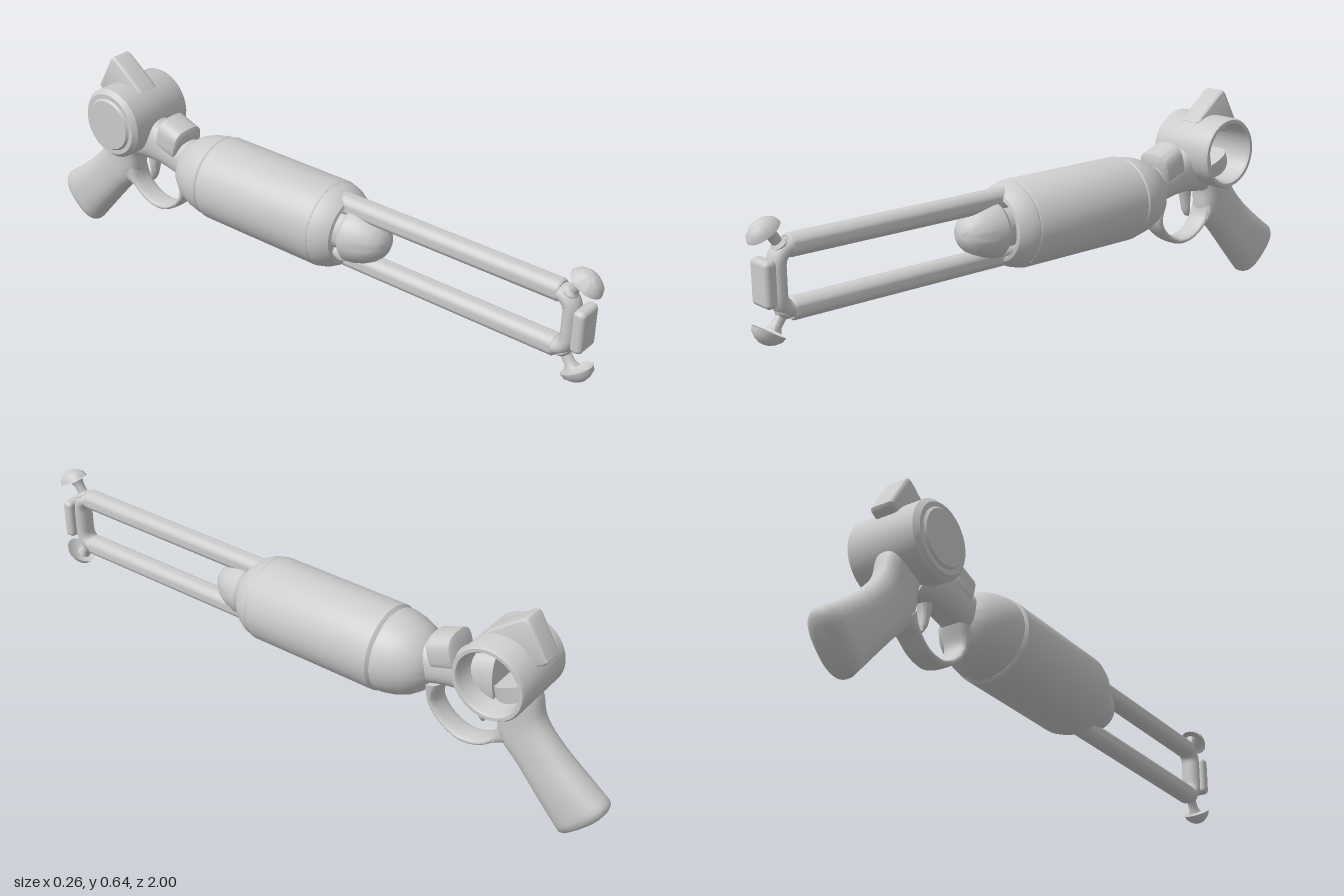
import * as THREE from 'three';
import { toCreasedNormals } from 'three/addons/utils/BufferGeometryUtils.js';
import { RoundedBoxGeometry } from 'three/addons/geometries/RoundedBoxGeometry.js';

const AXIS_Y = 0.357; // height of the barrel axis

export function createModel() {
  const model = new THREE.Group();
  const grey = new THREE.MeshStandardMaterial({ color: 0xcccccc });

  const add = (name, geometry, parent = model) => {
    const mesh = new THREE.Mesh(geometry, grey);
    mesh.name = name;
    parent.add(mesh);
    return mesh;
  };

  // Turned part from [radius, height] points, listed so the outside faces out
  const lathe = (points, segments = 48, crease = 0.6) => toCreasedNormals(
    new THREE.LatheGeometry(points.map(([r, h]) => new THREE.Vector2(r, h)), segments), crease);

  // Capped loft; each station is [z, y] of the lower edge, [z, y] of the upper edge, half width
  const loft = (stations, power = 1, crease = 0.8, sides = 28) => {
    const middle = ([az, ay, bz, by]) => {
      const z = (az + bz) / 2, y = (ay + by) / 2;
      return [z, y, z, y, 0];
    };
    const rings = [middle(stations[0]), ...stations, middle(stations[stations.length - 1])];
    const soften = (v) => Math.sign(v) * Math.abs(v) ** power;
    const positions = [], index = [];
    rings.forEach(([az, ay, bz, by, w], i) => {
      for (let j = 0; j < sides; j++) {
        const t = (j / sides) * Math.PI * 2, c = soften(Math.cos(t)), s = soften(Math.sin(t));
        positions.push(w * s, (ay + by) / 2 + (c * (by - ay)) / 2, (az + bz) / 2 + (c * (bz - az)) / 2);
        if (i === rings.length - 1) continue;
        const k = (j + 1) % sides, a = i * sides, b = a + sides;
        if (i > 0) index.push(a + j, a + k, b + j);
        if (i < rings.length - 2) index.push(a + k, b + k, b + j);
      }
    });
    // The first ring is a point, so its fan uses only the second triangle of each quad
    const geometry = new THREE.BufferGeometry();
    geometry.setAttribute('position', new THREE.Float32BufferAttribute(positions, 3));
    geometry.setIndex(index);
    geometry.computeVertexNormals();
    return toCreasedNormals(geometry, crease);
  };

  // Stations resampled along smooth curves
  const smooth = (stations, count = 24) => {
    const curve = (f) => new THREE.CatmullRomCurve3(stations.map(f));
    const low = curve((s) => new THREE.Vector3(s[4], s[1], s[0]));
    const high = curve((s) => new THREE.Vector3(s[4], s[3], s[2]));
    return Array.from({ length: count + 1 }, (_, i) => {
      const a = low.getPoint(i / count), b = high.getPoint(i / count);
      return [a.z, a.y, b.z, b.y, a.x];
    });
  };

  // Barrel parts, turned about the z axis
  const barrel = (name, points) => add(name, lathe(points).rotateX(Math.PI / 2)).position.set(0, AXIS_Y, 0);
  barrel('barrelBody', [[0, -0.295], [0.122, -0.295], [0.13, -0.287], [0.13, 0.135], [0.126, 0.142], [0, 0.142]]);
  barrel('rearDome', [[0, -0.452], [0.03, -0.448], [0.06, -0.435], [0.085, -0.414], [0.105, -0.385],
    [0.118, -0.35], [0.125, -0.315], [0.125, -0.3], [0.119, -0.292], [0, -0.292]]);
  barrel('frontCollar', [[0, 0.138], [0.124, 0.138], [0.127, 0.146], [0.122, 0.165], [0.11, 0.187],
    [0.1, 0.2], [0.09, 0.203], [0.087, 0.195], [0.085, 0.16], [0, 0.16]]);
  barrel('noseCone', [[0, 0.15], [0.06, 0.15], [0.062, 0.205], [0.078, 0.21], [0.085, 0.222], [0.082, 0.245],
    [0.073, 0.275], [0.059, 0.302], [0.041, 0.322], [0.02, 0.333], [0, 0.336]]);

  // Front fork: two rods, the end bend, the pad and the two hooks
  for (const side of [1, -1]) {
    const half = new THREE.Group();
    half.name = side > 0 ? 'upperForkHalf' : 'lowerForkHalf';
    half.position.y = AXIS_Y;
    if (side < 0) half.rotation.z = Math.PI;
    model.add(half);

    const rod = lathe([[0, 0.15], [0.032, 0.15], [0.032, 0.886], [0.028, 0.892], [0, 0.892]], 24);
    add('forkRod', rod.rotateX(Math.PI / 2), half).position.y = 0.084;

    const stalk = add('hookStalk', lathe([[0, -0.04], [0.024, -0.04], [0.024, -0.012], [0.015, -0.004],
      [0.015, 0.022], [0.021, 0.035], [0, 0.035]], 20), half);
    stalk.position.set(0, 0.103, 0.922);
    stalk.rotation.x = 0.6;

    const hook = add('hookCap', lathe([[0, 0.012], [0.03, 0.008], [0.05, -0.003], [0.045, 0.011],
      [0.03, 0.024], [0.015, 0.031], [0, 0.033]], 32, 0.8), half);
    hook.position.set(0, 0.133, 0.957);
    hook.rotation.x = 0.53;
    hook.scale.x = 0.8;
  }
  const bendPath = new THREE.CurvePath();
  const v = (y, z) => new THREE.Vector3(0, y, z);
  bendPath.add(new THREE.LineCurve3(v(0.084, 0.86), v(0.084, 0.875)));
  bendPath.add(new THREE.CubicBezierCurve3(v(0.084, 0.875), v(0.084, 0.906), v(0.066, 0.925), v(0.035, 0.925)));
  bendPath.add(new THREE.LineCurve3(v(0.035, 0.925), v(-0.035, 0.925)));
  bendPath.add(new THREE.CubicBezierCurve3(v(-0.035, 0.925), v(-0.066, 0.925), v(-0.084, 0.906), v(-0.084, 0.875)));
  bendPath.add(new THREE.LineCurve3(v(-0.084, 0.875), v(-0.084, 0.86)));
  const bend = add('forkBend', new THREE.TubeGeometry(bendPath, 48, 0.024, 18));
  bend.position.y = AXIS_Y;
  bend.scale.x = 1.3;
  add('frontPad', new RoundedBoxGeometry(0.08, 0.126, 0.036, 4, 0.014)).position.set(0, AXIS_Y, 0.962);

  // Frame between the barrel and the receiver
  add('neck', loft(smooth([
    [-0.38, 0.28, -0.38, 0.45, 0.06], [-0.44, 0.312, -0.45, 0.435, 0.055], [-0.5, 0.328, -0.51, 0.452, 0.055],
    [-0.57, 0.332, -0.56, 0.475, 0.055], [-0.66, 0.32, -0.64, 0.5, 0.055]]), 0.85));
  add('frontSight', loft([
    [-0.455, 0.37, -0.428, 0.46, 0.05], [-0.46, 0.37, -0.434, 0.476, 0.058],
    [-0.53, 0.39, -0.502, 0.502, 0.058], [-0.535, 0.395, -0.51, 0.49, 0.052]], 0.7));
  add('triggerGuard', loft(smooth([
    [-0.42, 0.315, -0.475, 0.325, 0.045], [-0.437, 0.246, -0.458, 0.262, 0.037], [-0.475, 0.2, -0.488, 0.216, 0.035],
    [-0.544, 0.166, -0.544, 0.188, 0.035], [-0.61, 0.177, -0.603, 0.197, 0.035],
    [-0.66, 0.21, -0.646, 0.235, 0.037], [-0.705, 0.225, -0.66, 0.285, 0.042]], 32), 0.8));
  add('trigger', loft(smooth([
    [-0.562, 0.345, -0.615, 0.345, 0.02], [-0.575, 0.3, -0.607, 0.305, 0.018],
    [-0.585, 0.265, -0.607, 0.265, 0.015], [-0.596, 0.247, -0.606, 0.247, 0.008]], 12)));

  // Receiver drum: capped on the right, open on the left
  add('receiverDrum', lathe([[0, -0.12], [0.079, -0.12], [0.085, -0.113], [0.099, -0.113], [0.112, -0.099],
    [0.112, 0.108], [0.107, 0.117], [0.097, 0.117], [0.091, 0.108], [0.09, -0.06], [0, -0.06]])
    .rotateZ(-Math.PI / 2)).position.set(0, 0.46, -0.667);

  // Rear sight: a slanted rounded block on top of the drum
  const outline = new THREE.Shape([[-0.602, 0.555], [-0.622, 0.575], [-0.708, 0.64], [-0.722, 0.644], [-0.732, 0.636],
    [-0.79, 0.535], [-0.785, 0.525], [-0.75, 0.505], [-0.66, 0.53]].map(([z, y]) => new THREE.Vector2(z, y)));
  const block = new THREE.ExtrudeGeometry(outline, {
    depth: 0.052, bevelSize: 0.012, bevelThickness: 0.012, bevelOffset: -0.012, bevelSegments: 4 });
  add('rearSight', toCreasedNormals(block.translate(0, 0, -0.026).rotateY(-Math.PI / 2), 0.6));

  // Grip, flaring towards its rounded butt
  add('grip', loft([...smooth([
    [-0.63, 0.4, -0.745, 0.45, 0.055], [-0.652, 0.32, -0.768, 0.4, 0.05], [-0.66, 0.24, -0.788, 0.332, 0.047],
    [-0.725, 0.172, -0.85, 0.258, 0.05], [-0.8, 0.088, -0.93, 0.192, 0.056],
    [-0.862, 0.016, -0.993, 0.146, 0.056]], 28),
    [-0.872, 0.004, -0.999, 0.134, 0.052], [-0.882, 0.002, -0.996, 0.118, 0.044],
    [-0.905, 0.015, -0.985, 0.098, 0.028]], 0.8));

  return model;
}
